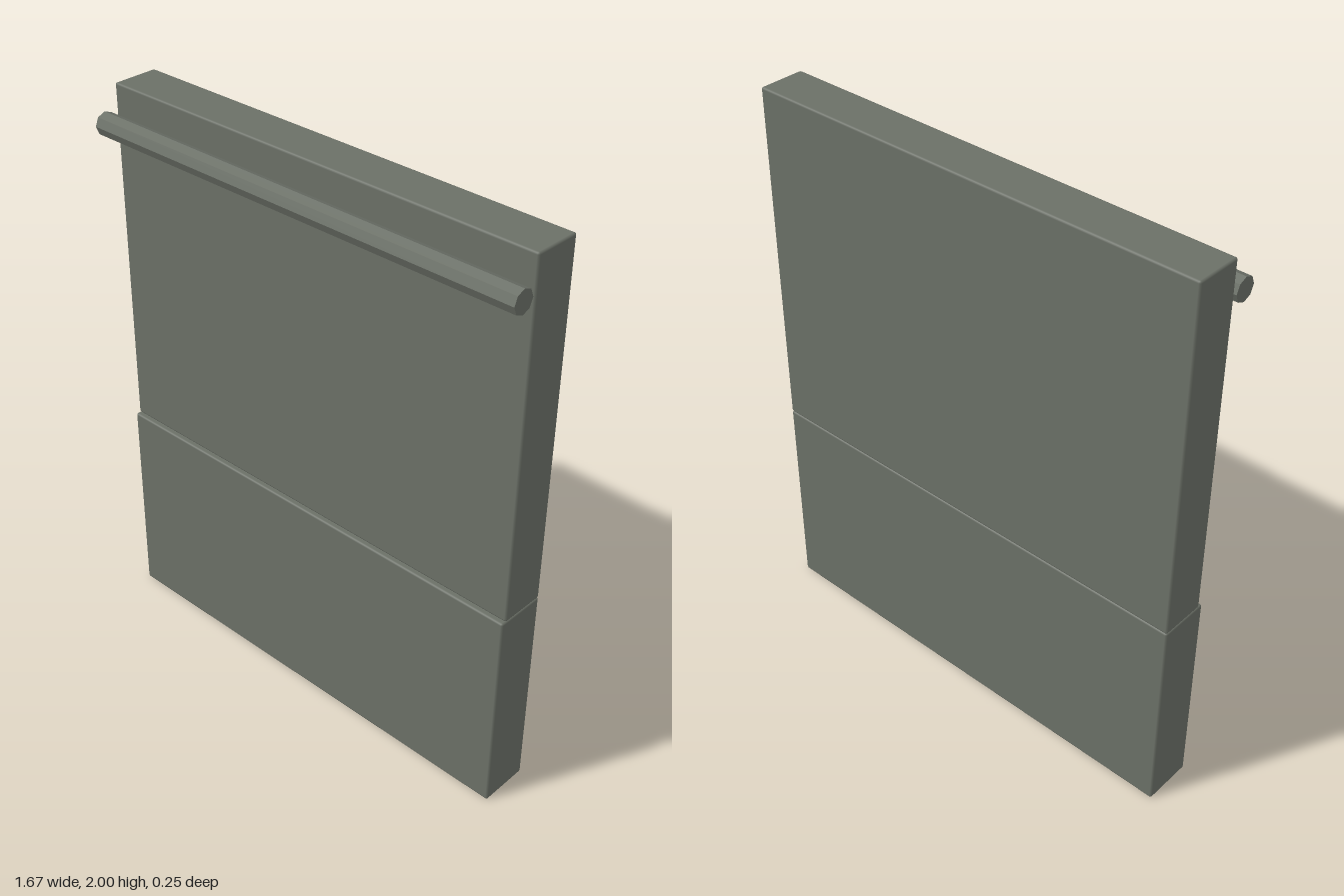
import * as THREE from 'three';
import { RoundedBoxGeometry } from 'three/addons/geometries/RoundedBoxGeometry.js';

const WIDTH = 1.666;
const BACK = -0.127;
const BEVEL = 0.007;

export function createModel() {
  const group = new THREE.Group();
  const greyGreen = new THREE.MeshStandardMaterial({ color: 0x6b7067 });
  greyGreen.name = 'greyGreen';

  // Slab with fine bevelled edges, sharing one flush back plane
  const slab = (name, bottom, top, front) => {
    const geometry = new RoundedBoxGeometry(WIDTH, top - bottom, front - BACK, 1, BEVEL);
    const mesh = new THREE.Mesh(geometry, greyGreen);
    mesh.name = name;
    mesh.position.set(0, (bottom + top) / 2, (front + BACK) / 2);
    group.add(mesh);
  };
  slab('lowerPanel', 0, 0.755, 0.053);
  slab('upperPanel', 0.755, 2, 0.037);

  // Eight-sided rail held just in front of the upper panel
  const railGeometry = new THREE.CylinderGeometry(0.04, 0.04, WIDTH, 8).toNonIndexed();
  railGeometry.rotateZ(Math.PI / 2);
  railGeometry.computeVertexNormals();
  const rail = new THREE.Mesh(railGeometry, greyGreen);
  rail.name = 'frontRail';
  rail.position.set(0, 1.878, 0.087);
  group.add(rail);

  return group;
}
